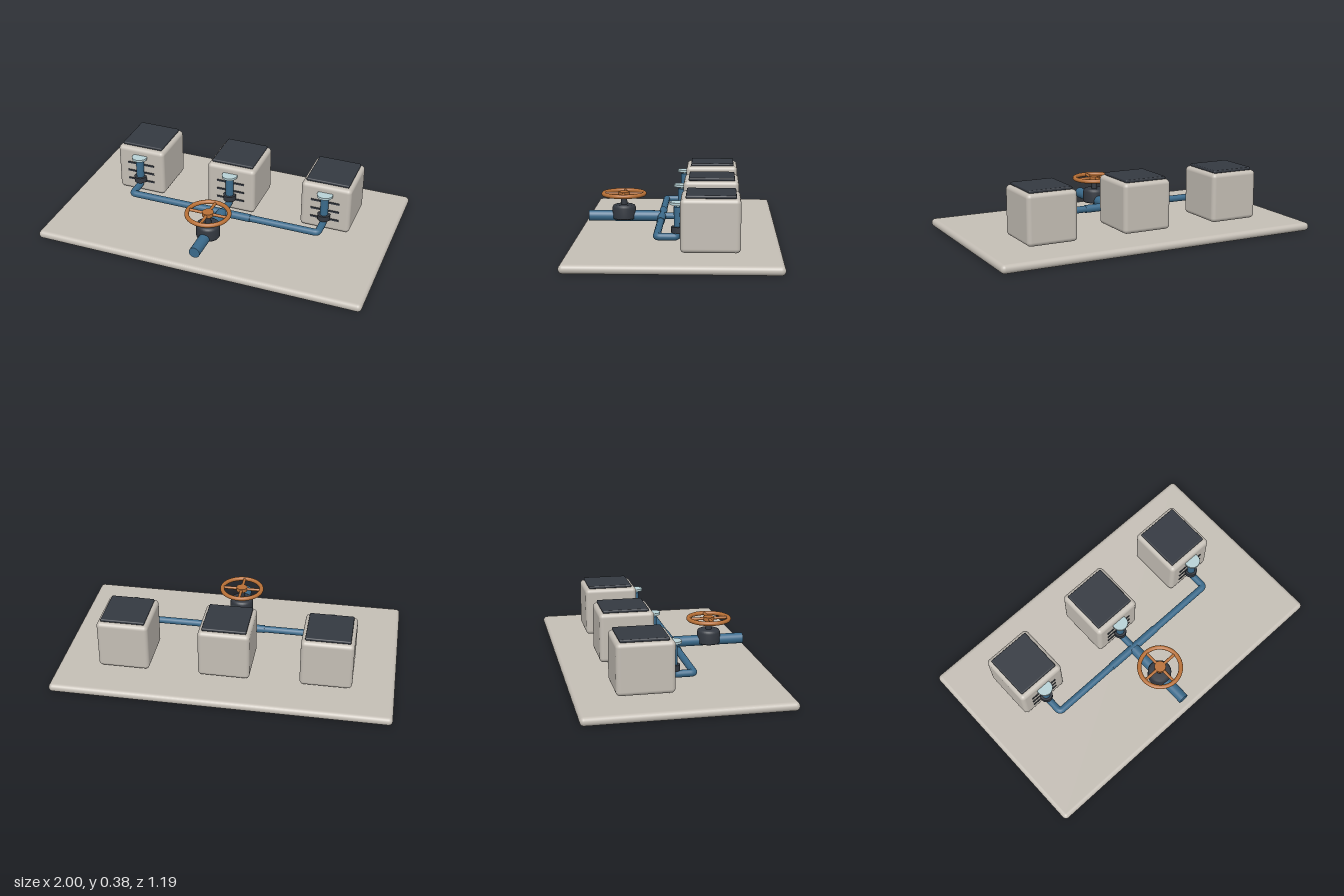
import * as THREE from 'three';
import { RoundedBoxGeometry } from 'three/addons/geometries/RoundedBoxGeometry.js';

const mat = (name, color) => {
  const m = new THREE.MeshStandardMaterial({ color });
  m.name = name;
  return m;
};

export function createModel() {
  const stone = mat('warm grey', 0xc4beb5);
  const dark = mat('charcoal', 0x343941);
  const blue = mat('pipe blue', 0x3b6b8c);
  const copper = mat('copper', 0xb87036);
  const pale = mat('pale aqua', 0xb8d2d6);

  const model = new THREE.Group();
  model.name = 'pipeManifold';

  const add = (parent, name, geometry, material, x = 0, y = 0, z = 0) => {
    const mesh = new THREE.Mesh(geometry, material);
    mesh.name = name;
    mesh.position.set(x, y, z);
    parent.add(mesh);
    return mesh;
  };
  const cyl = (r, h, top = r) => new THREE.CylinderGeometry(top, r, h, 28);

  // Pipe run with small rounded elbows at the inner points
  const pipe = (points, radius, bend = 0.022) => {
    const pts = points.map((p) => new THREE.Vector3(...p));
    const path = new THREE.CurvePath();
    let from = pts[0];
    for (let i = 1; i < pts.length - 1; i++) {
      const toward = (q) => q.clone().sub(pts[i]).setLength(bend).add(pts[i]);
      const a = toward(pts[i - 1]), b = toward(pts[i + 1]);
      path.add(new THREE.LineCurve3(from, a));
      path.add(new THREE.QuadraticBezierCurve3(a, pts[i], b));
      from = b;
    }
    path.add(new THREE.LineCurve3(from, pts[pts.length - 1]));
    return new THREE.TubeGeometry(path, 120, radius, 16, false);
  };

  // Base slab
  add(model, 'baseSlab', new RoundedBoxGeometry(2, 0.05, 1.19, 5, 0.0245), stone, 0, 0.025, 0);

  // Three cabinets, each with a lid, louvres and an outlet
  for (const x of [-0.6, 0, 0.6]) {
    const station = new THREE.Group();
    station.name = 'station';
    station.position.x = x;
    model.add(station);
    add(station, 'cabinet', new RoundedBoxGeometry(0.306, 0.298, 0.33, 5, 0.025), stone, 0, 0.209, -0.2);
    add(station, 'lid', new RoundedBoxGeometry(0.262, 0.018, 0.276, 3, 0.007), dark, 0, 0.366, -0.203);
    for (const y of [0.14, 0.198, 0.255]) {
      add(station, 'louvre', new THREE.BoxGeometry(0.176, 0.011, 0.014), dark, 0, y, -0.037);
    }
    add(station, 'collar', cyl(0.038, 0.034), dark, 0, 0.162, -0.02);
    add(station, 'riserTop', cyl(0.024, 0.145), blue, 0, 0.2175, -0.02);
    add(station, 'capStem', cyl(0.009, 0.02), pale, 0, 0.296, -0.02);
    add(station, 'cap', cyl(0.047, 0.014), pale, 0, 0.31, -0.02);

    // Branch from the header to the riser
    const run = [[x, 0.12, 0.1], [x, 0.12, -0.02], [x, 0.2, -0.02]];
    if (x !== 0) run.unshift([0, 0.12, 0.1]);
    add(model, 'branchPipe', pipe(run, 0.021), blue);
  }

  // Header tee and inlet pipe
  add(model, 'headerTee', cyl(0.024, 0.36), blue, 0, 0.12, 0.1).rotation.z = Math.PI / 2;
  add(model, 'inletPipe', cyl(0.033, 0.437), blue, 0, 0.12, 0.3275).rotation.x = Math.PI / 2;

  // Valve with handwheel
  const valve = new THREE.Group();
  valve.name = 'valve';
  valve.position.z = 0.332;
  model.add(valve);
  const profile = [[0, 0.104], [0.068, 0.104], [0.071, 0.11], [0.071, 0.172], [0.066, 0.185], [0.056, 0.19], [0, 0.19]];
  const body = new THREE.LatheGeometry(profile.map(([r, y]) => new THREE.Vector2(r, y)), 32);
  add(valve, 'valveBody', body, dark);
  add(valve, 'valveStem', cyl(0.019, 0.07), dark, 0, 0.22, 0);
  add(valve, 'wheelRim', new THREE.TorusGeometry(0.124, 0.013, 14, 48), copper, 0, 0.257, 0).rotation.x = Math.PI / 2;
  add(valve, 'wheelHub', cyl(0.034, 0.024), copper, 0, 0.257, 0);
  add(valve, 'wheelSpoke', cyl(0.009, 0.248), copper, 0, 0.257, 0).rotation.x = Math.PI / 2;
  add(valve, 'wheelSpoke', cyl(0.009, 0.248), copper, 0, 0.257, 0).rotation.z = Math.PI / 2;

  return model;
}
